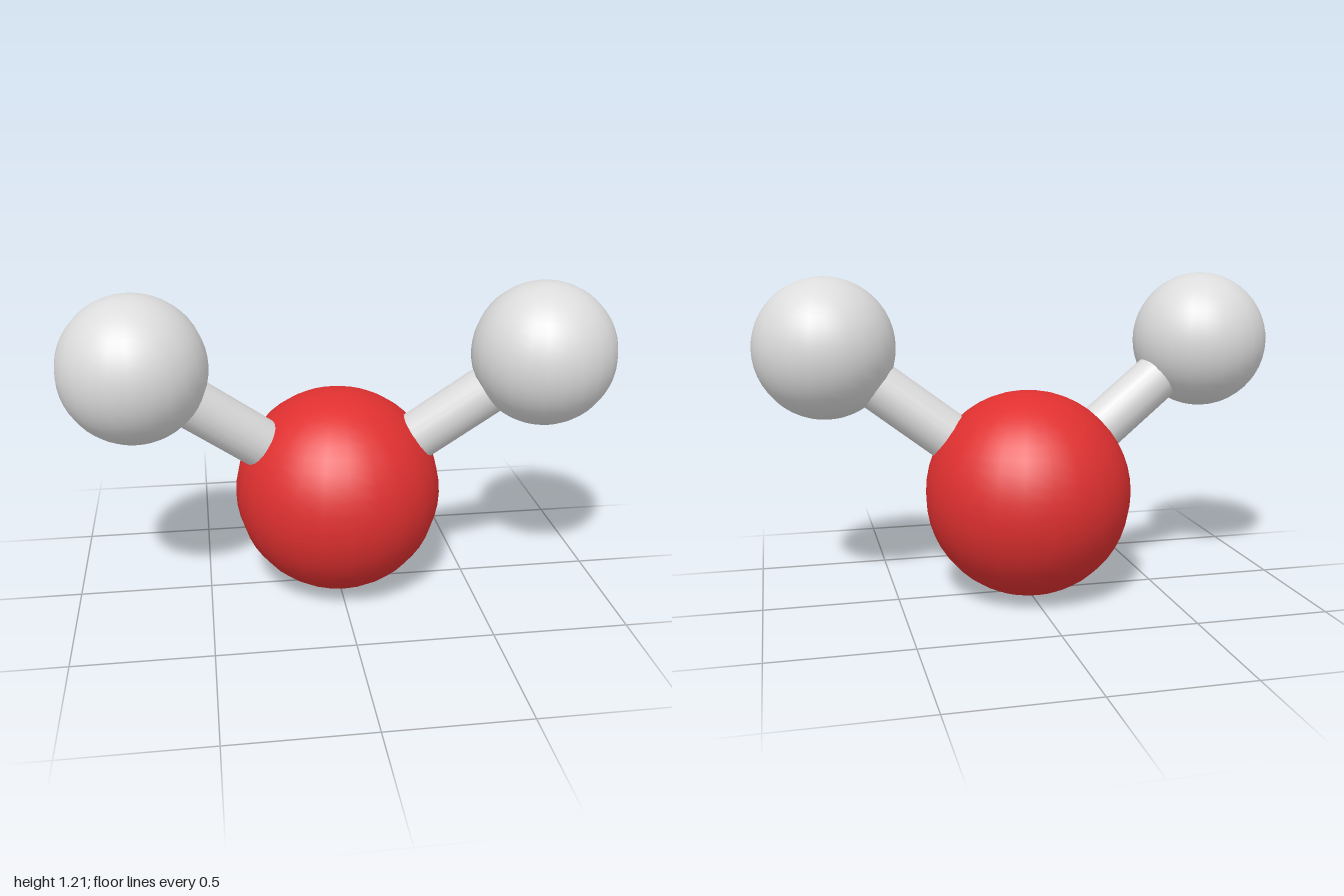
import * as THREE from 'three';

export function createModel() {
  const group = new THREE.Group();
  const red = new THREE.MeshStandardMaterial({ color: 0xe03030 });
  red.name = 'red';
  const white = new THREE.MeshStandardMaterial({ color: 0xdcdcdc });
  white.name = 'pale grey';

  const add = (name, geometry, material, position) => {
    const mesh = new THREE.Mesh(geometry, material);
    mesh.name = name;
    mesh.position.copy(position);
    group.add(mesh);
    return mesh;
  };

  // Large central atom
  const centre = new THREE.Vector3(0, 0.392, -0.01);
  add('centralAtom', new THREE.SphereGeometry(0.39, 24, 24), red, centre);

  // Mirrored outer atoms, each joined to the centre by a round bond
  const up = new THREE.Vector3(0, 1, 0);
  for (const [side, s] of [['left', 1], ['right', -1]]) {
    const end = new THREE.Vector3(s * 0.737, 0.945, 0.136);
    add(side + 'OuterAtom', new THREE.SphereGeometry(0.263, 24, 24), white, end);

    const direction = end.clone().sub(centre);
    const bond = add(
      side + 'Bond',
      new THREE.CylinderGeometry(0.093, 0.093, direction.length(), 20),
      white,
      centre.clone().lerp(end, 0.5)
    );
    bond.quaternion.setFromUnitVectors(up, direction.normalize());
  }
  return group;
}
